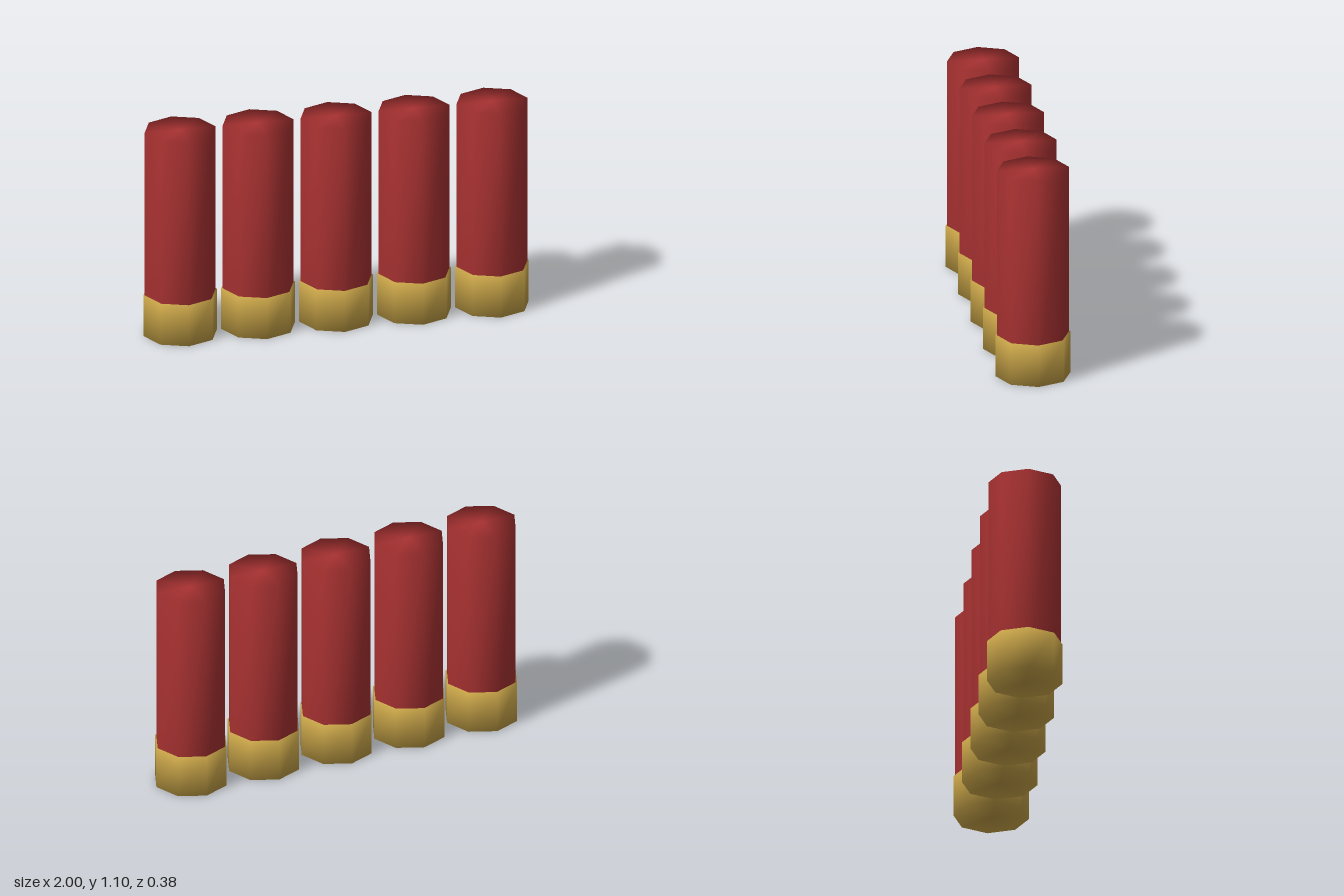
import * as THREE from 'three';
import { mergeVertices } from 'three/addons/utils/BufferGeometryUtils.js';

// Eight-sided capped cylinder with normals smoothed over sides and caps
function softCylinder(radius, bottom, top) {
  const raw = new THREE.CylinderGeometry(radius, radius, top - bottom, 8);
  raw.translate(0, (top + bottom) / 2, 0);
  raw.deleteAttribute('normal');
  raw.deleteAttribute('uv');
  const geometry = mergeVertices(raw, 1e-4);
  geometry.computeVertexNormals();
  return geometry;
}

export function createModel() {
  const model = new THREE.Group();
  model.name = 'shellRow';

  const red = new THREE.MeshStandardMaterial({ color: 0xaa3232 });
  red.name = 'red casing';
  const brass = new THREE.MeshStandardMaterial({ color: 0xc8a448 });
  brass.name = 'brass';

  const casingGeometry = softCylinder(0.184, 0.002, 1.102);
  const baseGeometry = softCylinder(0.191, 0, 0.22);

  // Five identical shells side by side
  for (let i = -2; i <= 2; i++) {
    const shell = new THREE.Group();
    shell.name = 'shell';
    const casing = new THREE.Mesh(casingGeometry, red);
    casing.name = 'casing';
    const base = new THREE.Mesh(baseGeometry, brass);
    base.name = 'brassBase';
    shell.add(casing, base);
    shell.position.x = i * 0.4045;
    model.add(shell);
  }
  return model;
}
